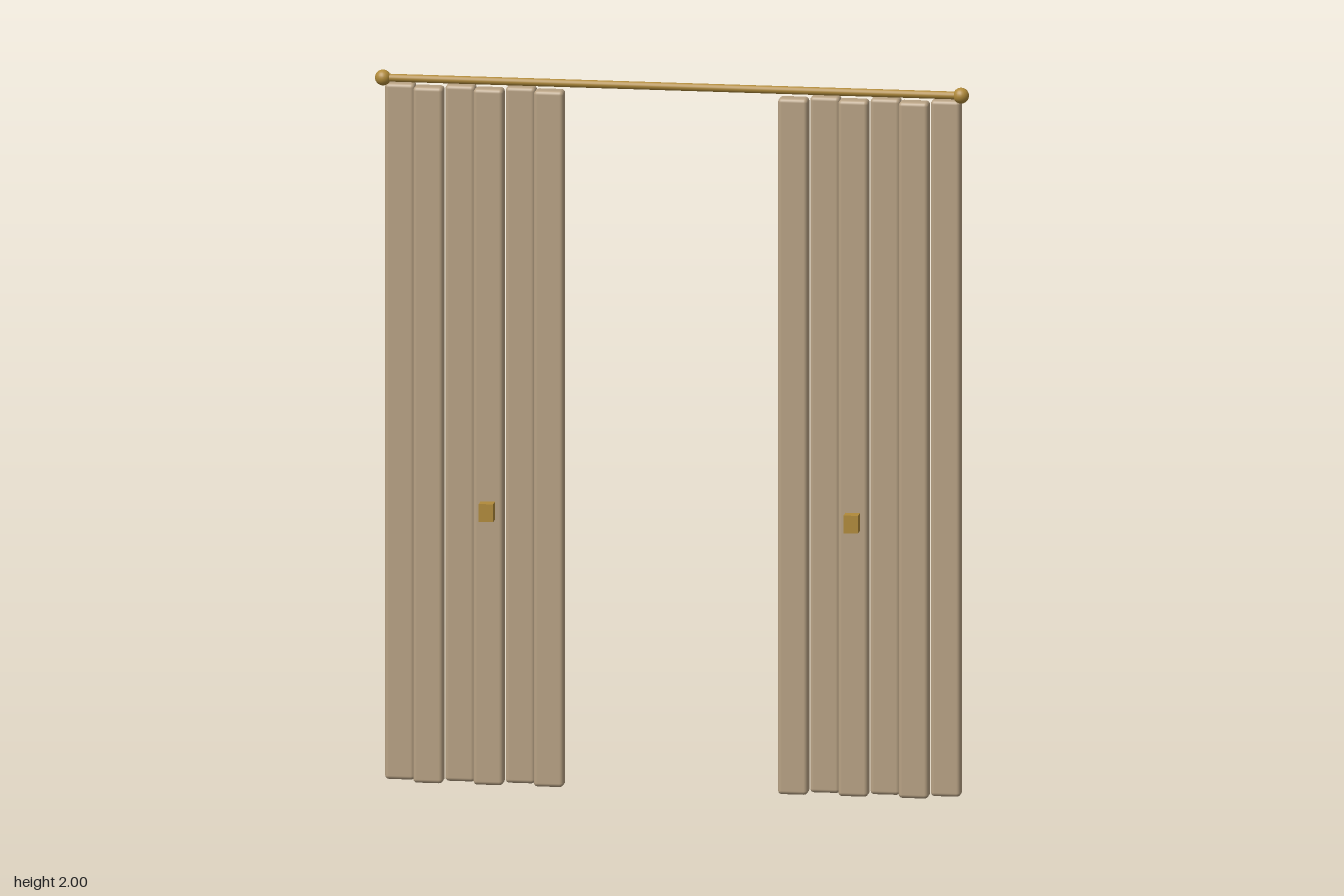
import * as THREE from 'three';
import { RoundedBoxGeometry } from 'three/addons/geometries/RoundedBoxGeometry.js';

const fabric = new THREE.MeshStandardMaterial({ color: 0xb8a284 });
const brass = new THREE.MeshStandardMaterial({ color: 0xb08a3a });

function add(parent, name, geometry, material, x, y, z) {
  const mesh = new THREE.Mesh(geometry, material);
  mesh.name = name;
  mesh.position.set(x, y, z);
  parent.add(mesh);
  return mesh;
}

export function createModel() {
  const model = new THREE.Group();
  model.name = 'curtains';
  const rodY = 1.978, rodZ = -0.007, rodEnd = 0.805;

  // Curtain rod
  const rod = add(model, 'rod', new THREE.CylinderGeometry(0.011, 0.011, rodEnd * 2, 16), brass, 0, rodY, rodZ);
  rod.rotation.z = Math.PI / 2;

  const finial = new THREE.SphereGeometry(0.022, 20, 14);
  const pleat = new RoundedBoxGeometry(0.083, 1.96, 0.048, 3, 0.011);
  const tie = new THREE.BoxGeometry(0.04, 0.05, 0.037);

  for (const side of [1, -1]) {
    const label = side > 0 ? 'left' : 'right';
    add(model, label + 'Finial', finial, brass, side * rodEnd, rodY, rodZ);

    const curtain = new THREE.Group();
    curtain.name = label + 'Curtain';
    model.add(curtain);

    // Pleats alternate front and back, starting in front at the inner edge
    for (let i = 0; i < 6; i++) {
      const z = i % 2 === 0 ? 0 : -0.037;
      add(curtain, 'pleat' + (i + 1), pleat, fabric, side * (0.34 + i * 0.084), 0.98, z);
    }

    // Tieback block on the middle front pleat
    add(curtain, 'tieback', tie, brass, side * 0.508, 0.775, 0.0425);
  }
  return model;
}
